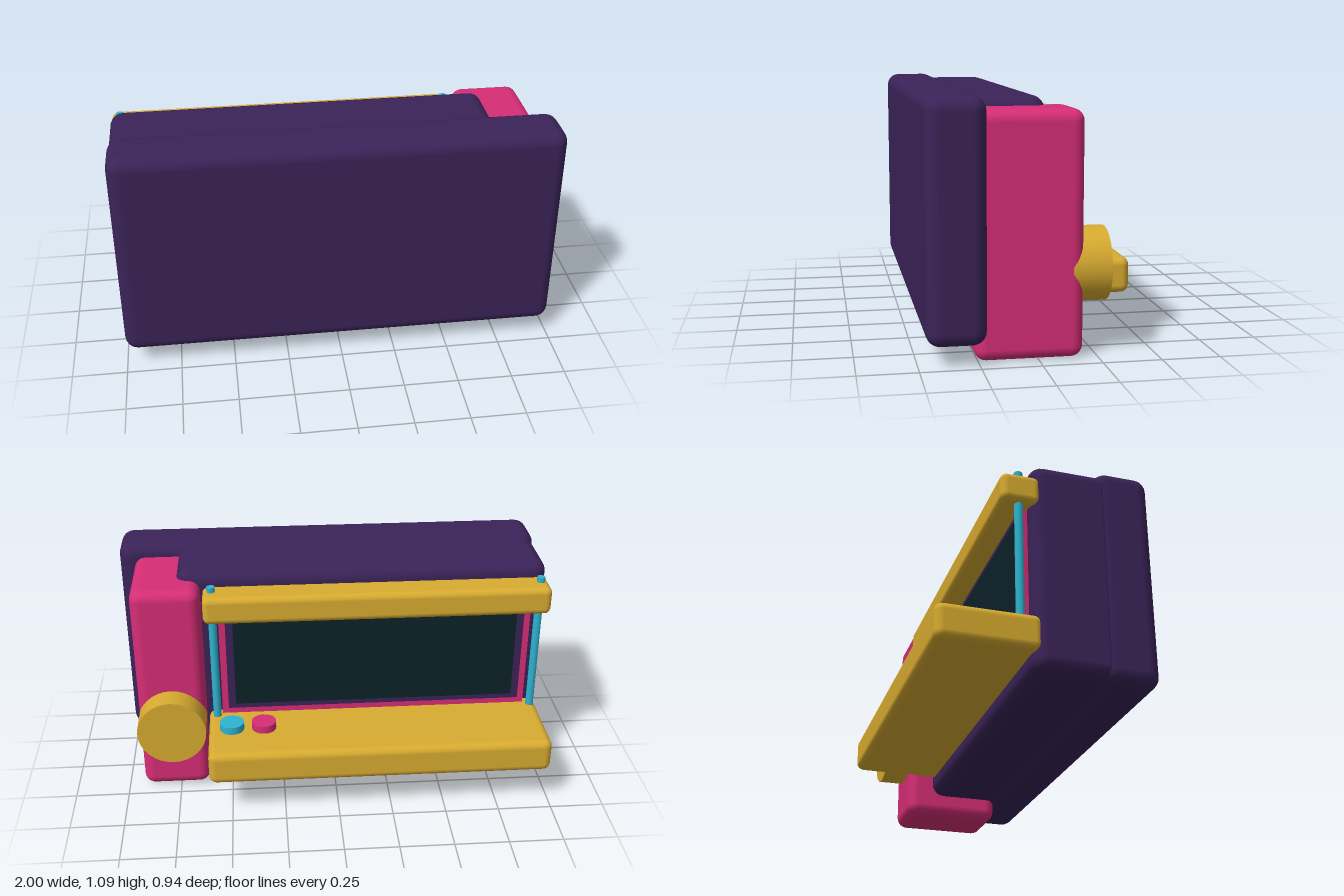
import * as THREE from 'three';
import { RoundedBoxGeometry } from 'three/addons/geometries/RoundedBoxGeometry.js';

const material = (name, color) => {
  const m = new THREE.MeshStandardMaterial({ color });
  m.name = name;
  return m;
};

export function createModel() {
  const purple = material('deep purple', 0x3a2358);
  const pink = material('hot pink', 0xd62e76);
  const yellow = material('mustard yellow', 0xd8ab30);
  const teal = material('bright teal', 0x2eb4d0);
  const dark = material('dark glass', 0x0c2229);

  const model = new THREE.Group();
  model.name = 'camera';

  const add = (name, geometry, mat, x, y, z) => {
    const mesh = new THREE.Mesh(geometry, mat);
    mesh.name = name;
    mesh.position.set(x, y, z);
    model.add(mesh);
    return mesh;
  };
  // Boxes are given by their min and max on each axis
  const box = (name, mat, [x0, x1], [y0, y1], [z0, z1], radius = 0) => {
    const size = [x1 - x0, y1 - y0, z1 - z0];
    const geometry = radius
      ? new RoundedBoxGeometry(...size, 3, radius)
      : new THREE.BoxGeometry(...size);
    return add(name, geometry, mat, (x0 + x1) / 2, (y0 + y1) / 2, (z0 + z1) / 2);
  };

  // Main body: wide front slab, inner housing and side grip
  box('frontSlab', purple, [-1, 1], [0.085, 1.09], [0.22, 0.47], 0.06);
  box('rearHousing', purple, [-0.995, 0.72], [0.1, 1.07], [-0.07, 0.3], 0.06);
  box('sideGrip', pink, [0.61, 0.926], [0, 1.03], [-0.19, 0.265], 0.05);

  // Rear shelf and upper rail
  box('shelf', yellow, [-0.99, 0.6], [0.185, 0.345], [-0.475, -0.03], 0.035);
  box('upperRail', yellow, [-0.995, 0.6], [0.865, 0.998], [-0.203, -0.03], 0.03);

  // Rear screen: stacked frame, border and glass
  const cx = -0.195;
  const plate = (name, mat, half, y0, y1, z) =>
    box(name, mat, [cx - half, cx + half], [y0, y1], [z, -0.05]);
  plate('screenFrame', pink, 0.73, 0.3, 0.89, -0.1);
  plate('screenBorder', purple, 0.7, 0.375, 0.86, -0.106);
  plate('screenGlass', dark, 0.665, 0.4, 0.835, -0.11);

  // Upright rods joining shelf and rail
  for (const x of [-0.955, 0.56]) {
    add('rod', new THREE.CylinderGeometry(0.019, 0.019, 0.77, 12), teal, x, 0.637, -0.118);
  }

  // Buttons on the shelf
  for (const [x, mat] of [[0.34, pink], [0.49, teal]]) {
    add('button', new THREE.CylinderGeometry(0.057, 0.057, 0.06, 24), mat, x, 0.352, -0.245);
  }

  // Large dial on the back of the grip
  const dial = add('dial', new THREE.CylinderGeometry(0.159, 0.159, 0.165, 32), yellow, 0.768, 0.3685, -0.2235);
  dial.rotation.x = Math.PI / 2;

  return model;
}
